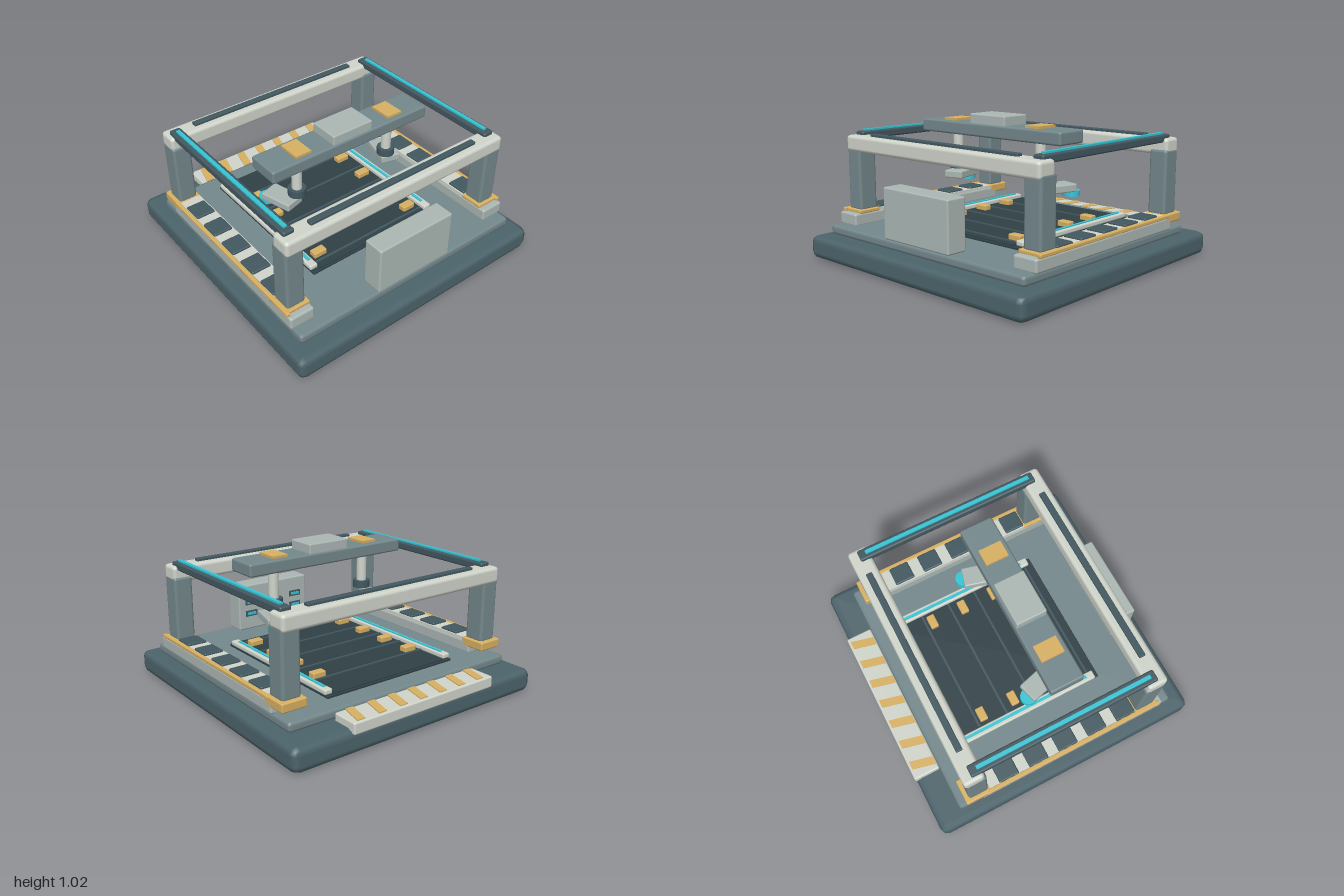
import * as THREE from 'three';
import { RoundedBoxGeometry } from 'three/addons/geometries/RoundedBoxGeometry.js';

const mat = (color) => new THREE.MeshStandardMaterial({ color });

export function createModel() {
  const root = new THREE.Group();
  const M = {
    base: mat(0x4c646b), slate: mat(0x74888c), light: mat(0xd0d5cb), pale: mat(0xacb8b5),
    dark: mat(0x2f4046), steel: mat(0x435860), gold: mat(0xd8b062), cyan: mat(0x35c6d6),
  };

  const add = (name, geometry, material, parent = root) => {
    const mesh = new THREE.Mesh(geometry, material);
    mesh.name = name;
    parent.add(mesh);
    return mesh;
  };
  // Box given by its min/max on each axis; r > 0 softens the edges
  const box = (name, material, [x0, x1], [y0, y1], [z0, z1], r = 0, seg = 2) => {
    const w = x1 - x0, h = y1 - y0, d = z1 - z0;
    const g = r ? new RoundedBoxGeometry(w, h, d, seg, r) : new THREE.BoxGeometry(w, h, d);
    const mesh = add(name, g, material);
    mesh.position.set((x0 + x1) / 2, (y0 + y1) / 2, (z0 + z1) / 2);
    return mesh;
  };
  const span = (s, a, b) => (s > 0 ? [a, b] : [-b, -a]);
  const cylinder = (name, material, r, y0, y1, x, z) => {
    const mesh = add(name, new THREE.CylinderGeometry(r, r, y1 - y0, 24), material);
    mesh.position.set(x, (y0 + y1) / 2, z);
    return mesh;
  };

  // Foundation and deck
  box('base', M.base, [-1, 1], [0, 0.165], [-0.99, 1], 0.05, 1);
  box('deck', M.slate, [-0.91, 0.91], [0.165, 0.235], [-0.81, 0.88], 0.025, 1);

  // Rear ramp with slanted warning stripes
  box('rearRamp', M.light, [-0.585, 0.585], [0.135, 0.215], [-1, -0.81], 0.012);
  const stripe = new THREE.Shape([[-0.06, 0], [0, 0], [0.04, 0.165], [-0.02, 0.165]]
    .map(([x, y]) => new THREE.Vector2(x, y)));
  const stripeGeo = new THREE.ExtrudeGeometry(stripe, { depth: 0.008, bevelEnabled: false });
  stripeGeo.rotateX(-Math.PI / 2);
  for (let i = -3; i <= 3; i++) {
    add('warningStripe', stripeGeo, M.gold).position.set(i * 0.167 + 0.01, 0.213, -0.818);
  }

  // Slatted bed
  box('bedPlate', M.dark, [-0.53, 0.53], [0.232, 0.25], [-0.67, 0.5], 0.005);
  box('bedSurface', M.dark, [-0.47, 0.47], [0.245, 0.257], [-0.66, 0.49]);
  for (let i = -2; i <= 2; i++) {
    const z = i * 0.216;
    box('bedRib', M.steel, [-0.47, 0.47], [0.25, 0.264], [z - 0.008, z + 0.008]);
  }

  for (const s of [-1, 1]) {
    // Bed guides and clips
    box('bedGuide', M.light, span(s, 0.475, 0.535), [0.25, 0.285], [-0.65, 0.47], 0.01);
    box('bedGuideLight', M.cyan, span(s, 0.492, 0.512), [0.28, 0.292], [-0.6, 0.41]);
    for (const z of [-0.38, -0.13, 0.12, 0.37]) {
      box('bedClip', M.gold, span(s, 0.345, 0.445), [0.25, 0.293], [z - 0.03, z + 0.03], 0.008);
    }

    // Side sills with gold trim and tread pads
    box('sill', M.pale, span(s, 0.74, 0.92), [0.225, 0.315], [-0.635, 0.79], 0.015);
    box('sillTop', M.light, span(s, 0.745, 0.9), [0.3, 0.333], [-0.58, 0.58]);
    box('sillTrim', M.gold, span(s, 0.895, 0.925), [0.312, 0.337], [-0.6, 0.76], 0.006);
    box('frontFootPlate', M.gold, span(s, 0.74, 0.92), [0.31, 0.337], [0.575, 0.745], 0.008);
    box('rearFootPlate', M.gold, span(s, 0.74, 0.92), [0.275, 0.337], [-0.755, -0.57], 0.01);
    for (let i = -2; i <= 2; i++) {
      const z = 0.04 + i * 0.23;
      box('treadPad', M.steel, span(s, 0.755, 0.895), [0.325, 0.348], [z - 0.075, z + 0.075], 0.01);
    }

    // Corner posts
    for (const t of [-1, 1]) {
      box('post', M.slate, span(s, 0.76, 0.895), [0.325, 0.78], span(t, 0.58, 0.725), 0.02);
    }

    // Overhead side rails
    box('sideRail', M.steel, span(s, 0.783, 0.863), [0.828, 0.882], [-0.67, 0.67], 0.012);
    box('sideRailLight', M.cyan, span(s, 0.81, 0.836), [0.875, 0.894], [-0.62, 0.63]);

    // Pistons hanging from the carriage
    cylinder('pistonRod', M.light, 0.035, 0.65, 0.88, s * 0.385, 0.13);
    cylinder('pistonFoot', M.steel, 0.062, 0.61, 0.662, s * 0.385, 0.13);
    box('carriagePatch', M.gold, span(s, 0.32, 0.44), [0.952, 0.972], [0.045, 0.21]);

    // Angled tool heads with a glowing disc
    const head = add('toolHead', new RoundedBoxGeometry(0.145, 0.055, 0.235, 2, 0.01), M.pale);
    head.position.set(s * 0.45, 0.555, 0.043);
    head.rotation.y = -s * 0.265;
    cylinder('toolDisc', M.cyan, 0.058, 0.495, 0.532, s * 0.493, -0.063);
  }

  // Front and rear beams with slots
  for (const t of [-1, 1]) {
    box('beam', M.light, [-0.892, 0.892], [0.743, 0.857], span(t, 0.59, 0.735), 0.025);
    box('beamSlot', M.steel, [-0.68, 0.68], [0.85, 0.875], span(t, 0.64, 0.685), 0.006);
  }

  // Carriage
  box('carriage', M.slate, [-0.64, 0.64], [0.865, 0.955], [0.005, 0.245], 0.015);
  box('carriageHousing', M.pale, [-0.162, 0.162], [0.94, 1.02], [0.015, 0.235], 0.01);

  // Control cabinet, with indicators on its inner face
  box('cabinet', M.pale, [-0.305, 0.305], [0.235, 0.582], [0.735, 0.885], 0.012);
  for (const x of [-0.2, 0, 0.2]) {
    for (const y of [0.36, 0.45]) {
      box('cabinetSlot', M.steel, [x - 0.05, x + 0.05], [y - 0.022, y + 0.022], [0.728, 0.74]);
      box('cabinetIndicator', M.cyan, [x - 0.035, x + 0.035], [y - 0.01, y + 0.01], [0.722, 0.735]);
    }
  }

  return root;
}
